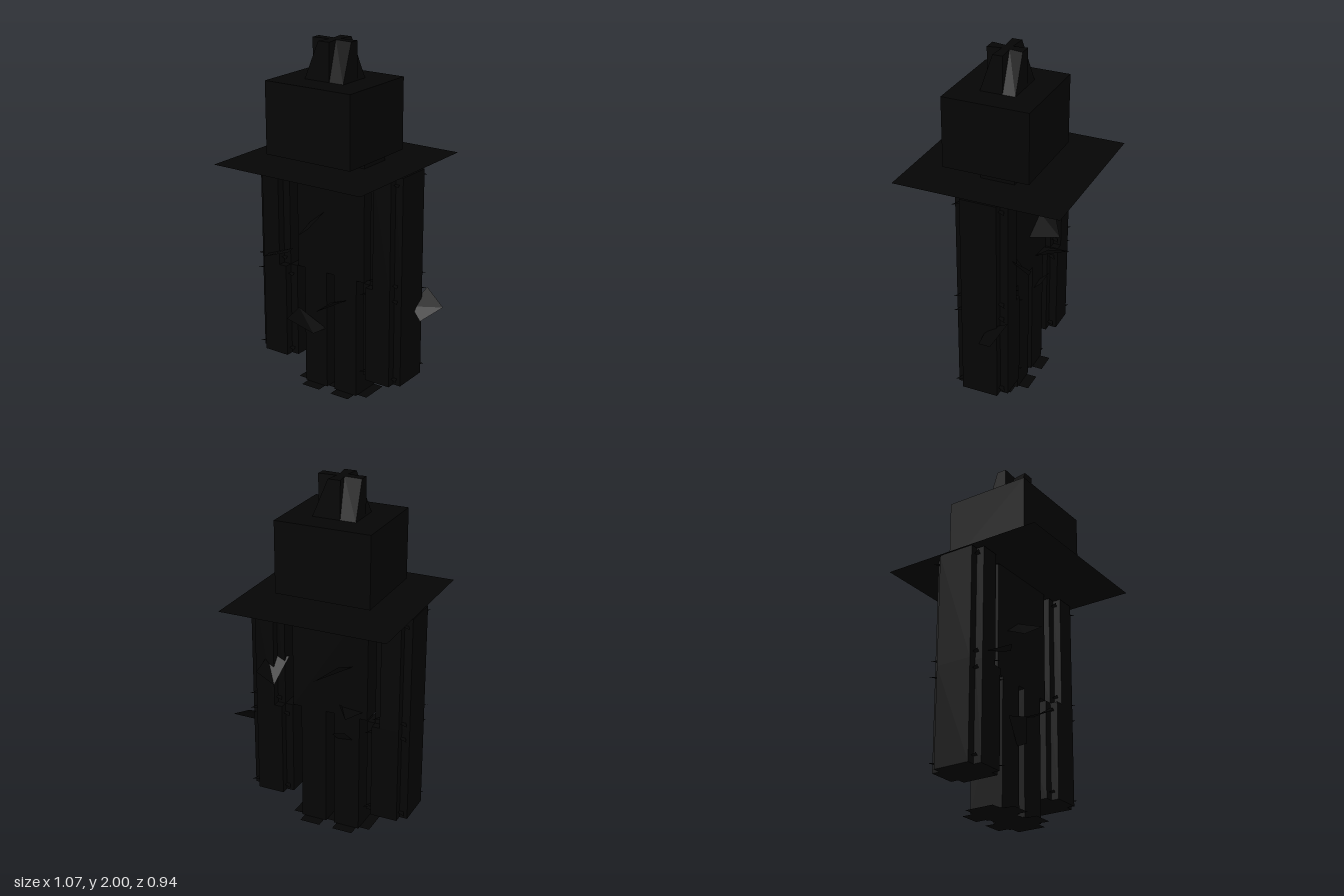
import * as THREE from 'three';

const black = new THREE.MeshStandardMaterial({ color: 0x050505, flatShading: true, side: THREE.DoubleSide });
black.name = 'charcoal black';

function add(parent, name, geometry) {
  const mesh = new THREE.Mesh(geometry, black);
  mesh.name = name;
  parent.add(mesh);
  return mesh;
}

// Box given by its min and max on each axis
function block(parent, name, [x0, x1], [y0, y1], [z0, z1]) {
  const mesh = add(parent, name, new THREE.BoxGeometry(x1 - x0, y1 - y0, z1 - z0));
  mesh.position.set((x0 + x1) / 2, (y0 + y1) / 2, (z0 + z1) / 2);
}

const outline = (points) => new THREE.Shape(points.map(([x, z]) => new THREE.Vector2(x, -z)));

// Rectangle with notched corners, grown outward by e
function plus(x0, x1, z0, z1, n, e = 0) {
  const [a, b, c, d] = [x0 + n, x1 - n, z0 + n, z1 - n];
  return outline([
    [x0 - e, c], [a, c], [a, z0 - e], [b, z0 - e], [b, c], [x1 + e, c],
    [x1 + e, d], [b, d], [b, z1 + e], [a, z1 + e], [a, d], [x0 - e, d],
  ]);
}

// Rectangle whose sides dip inward, leaving pointed corners
const barbed = (x0, x1, z0, z1, n) => outline([
  [x0, z0], [x0 + 2 * n, z0 + n], [x1 - 2 * n, z0 + n], [x1, z0], [x1 - n, z0 + 2 * n], [x1 - n, z1 - 2 * n],
  [x1, z1], [x1 - 2 * n, z1 - n], [x0 + 2 * n, z1 - n], [x0, z1], [x0 + n, z1 - 2 * n], [x0 + n, z0 + 2 * n],
]);

// Upright prism from an outline
function prism(parent, name, shape, y0, y1) {
  const geometry = new THREE.ExtrudeGeometry(shape, { depth: y1 - y0, bevelEnabled: false });
  add(parent, name, geometry.rotateX(-Math.PI / 2).translate(0, y0, 0));
}

// Level sheet without thickness
function sheet(parent, name, shape, y) {
  add(parent, name, new THREE.ShapeGeometry(shape).rotateX(-Math.PI / 2).translate(0, y, 0));
}

// Tuft: rectangular base rising to a four-armed star
function tuftGeometry(cx, cz, w, d, y0, y1) {
  const positions = [cx, y1, cz];
  const index = [];
  const [s, t, v] = [0.035, 0.028, 0.022]; // half widths of the star arms, and its valleys
  const top = [
    [w, t], [v, v], [s, d], [-s, d], [-v, v], [-w, t],
    [-w, -t], [-v, -v], [-s, -d], [s, -d], [v, -v], [w, -t],
  ];
  const base = top.map(([x, z], i) => (i % 3 === 1 ? [Math.sign(x) * w, Math.sign(z) * d] : [x, z]));
  top.forEach(([x, z], i) => positions.push(cx + x, y1, cz + z, cx + base[i][0], y0, cz + base[i][1]));
  for (let i = 0; i < 12; i++) {
    const a = 1 + 2 * i, b = 1 + 2 * ((i + 1) % 12);
    index.push(0, b, a, a, b, b + 1, a, b + 1, a + 1);
  }
  const geometry = new THREE.BufferGeometry();
  geometry.setAttribute('position', new THREE.Float32BufferAttribute(positions, 3));
  geometry.setIndex(index);
  geometry.computeVertexNormals();
  return geometry;
}

// Flat four-cornered scrap sticking out of the body
function scrap(parent, corners) {
  const geometry = new THREE.BufferGeometry();
  geometry.setAttribute('position', new THREE.Float32BufferAttribute(corners.flat(), 3));
  geometry.setIndex([0, 1, 2, 0, 2, 3]);
  geometry.computeVertexNormals();
  add(parent, 'tatteredScrap', geometry);
}

export function createModel() {
  const model = new THREE.Group();
  model.name = 'blockFigure';
  const cx = -0.065; // middle of the body

  block(model, 'torso', [-0.285, 0.16], [0.7, 1.39], [-0.12, 0.075]);
  block(model, 'head', [-0.335, 0.207], [1.39, 1.79], [-0.22, 0.273]);
  add(model, 'topTuft', tuftGeometry(cx, 0.023, 0.123, 0.1, 1.79, 2));

  // Paper-thin brim just above the shoulders
  const brim = add(model, 'hatBrim', new THREE.PlaneGeometry(0.94, 0.943).rotateX(-Math.PI / 2));
  brim.position.set(cx, 1.346, -0.002);

  for (const side of [-1, 1]) {
    const prefix = side > 0 ? 'left' : 'right';
    const span = (a, b) => [cx + side * a, cx + side * b].sort((p, q) => p - q);

    // Arm: slim sleeve above a wider forearm, with barbed sheets near the ends
    const arm = new THREE.Group();
    arm.name = prefix + 'Arm';
    model.add(arm);
    const upper = [...span(0.27, 0.47), -0.172, 0.125];
    const lower = [...span(0.225, 0.47), -0.172, 0.125];
    prism(arm, 'upperArm', plus(...upper, 0.045), 0.7, 1.34);
    prism(arm, 'forearm', plus(...lower, 0.045), 0.15, 0.7);
    for (const y of [0.74, 1.3]) sheet(arm, 'sleeveBarbs', barbed(...upper, 0.03), y);
    for (const y of [0.19, 0.65]) sheet(arm, 'cuffBarbs', barbed(...lower, 0.03), y);

    // Leg with flaps around the sole
    const [l0, l1] = span(0.025, 0.175);
    block(model, prefix + 'Leg', [l0, l1], [0, 0.7], [-0.12, 0.075]);
    sheet(model, prefix + 'FootFlaps', plus(l0, l1, -0.12, 0.075, 0.015, 0.06), 0);
  }

  // Scraps on the outer arm, the front and the back
  const scraps = [
    [[0.53, 0.57, -0.145], [0.45, 0.505, -0.04], [0.38, 0.57, -0.06], [0.4, 0.645, -0.19]],
    [[-0.1, 1.06, 0.07], [-0.1, 1, 0.23], [-0.2, 0.93, 0.185], [-0.2, 0.98, 0.07]],
    [[-0.3, 0.81, 0.1], [-0.29, 0.805, 0.16], [-0.4, 0.78, 0.24], [-0.46, 0.75, 0.12]],
    [[0.05, 0.57, 0.07], [0.04, 0.595, 0.19], [-0.04, 0.54, 0.25], [-0.06, 0.53, 0.07]],
    [[-0.25, 0.47, 0.12], [-0.25, 0.44, 0.23], [-0.13, 0.35, 0.15], [-0.1, 0.36, 0.07]],
    [[-0.2, 1, -0.11], [-0.16, 1.035, -0.22], [-0.05, 0.96, -0.295], [-0.04, 0.92, -0.11]],
    [[0.3, 0.98, -0.15], [0.3, 0.94, -0.28], [0.22, 0.855, -0.23], [0.19, 0.98, -0.1]],
    [[-0.13, 0.75, -0.11], [-0.15, 0.8, -0.19], [-0.23, 0.77, -0.285], [-0.26, 0.74, -0.11]],
    [[-0.2, 0.55, -0.11], [-0.18, 0.63, -0.185], [-0.1, 0.6, -0.17], [-0.11, 0.54, -0.11]],
  ];
  scraps.forEach((corners) => scrap(model, corners));
  return model;
}
